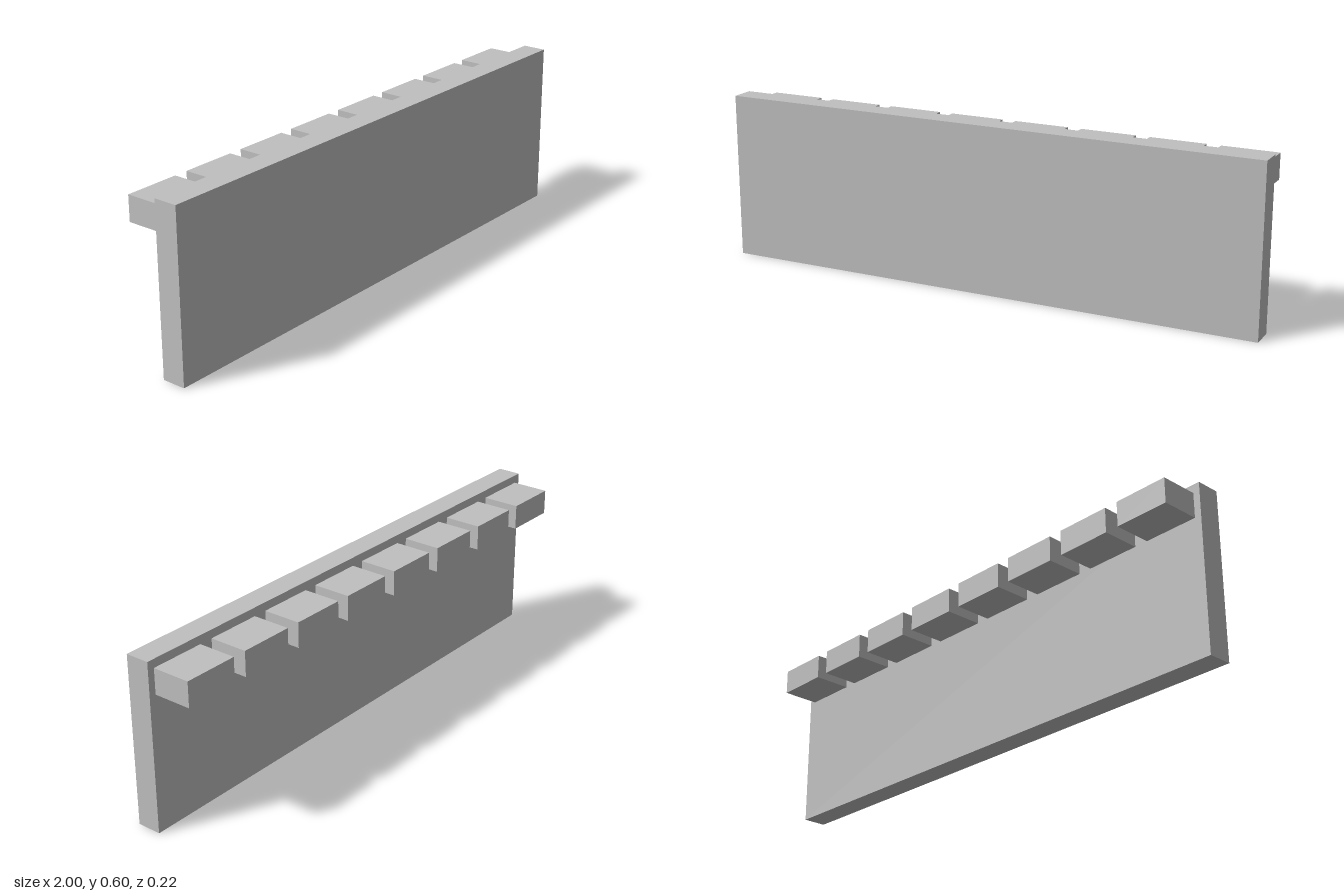
import * as THREE from 'three';

export function createModel() {
  const model = new THREE.Group();
  const grey = new THREE.MeshStandardMaterial({ color: 0xc0c0c0 });
  grey.name = 'grey';

  // Upright wall panel
  const panel = new THREE.Mesh(new THREE.BoxGeometry(2, 0.602, 0.086), grey);
  panel.name = 'wallPanel';
  panel.position.set(0, 0.301, 0.069);
  model.add(panel);

  // Row of eight blocks projecting from the back, near the top
  const count = 8, pitch = 0.25;
  const blockGeometry = new THREE.BoxGeometry(0.2, 0.09, 0.138);
  const blocks = new THREE.Group();
  blocks.name = 'bracketBlocks';
  for (let i = 0; i < count; i++) {
    const block = new THREE.Mesh(blockGeometry, grey);
    block.name = 'bracketBlock';
    block.position.set((i - (count - 1) / 2) * pitch, 0.527, -0.043);
    blocks.add(block);
  }
  model.add(blocks);

  return model;
}
